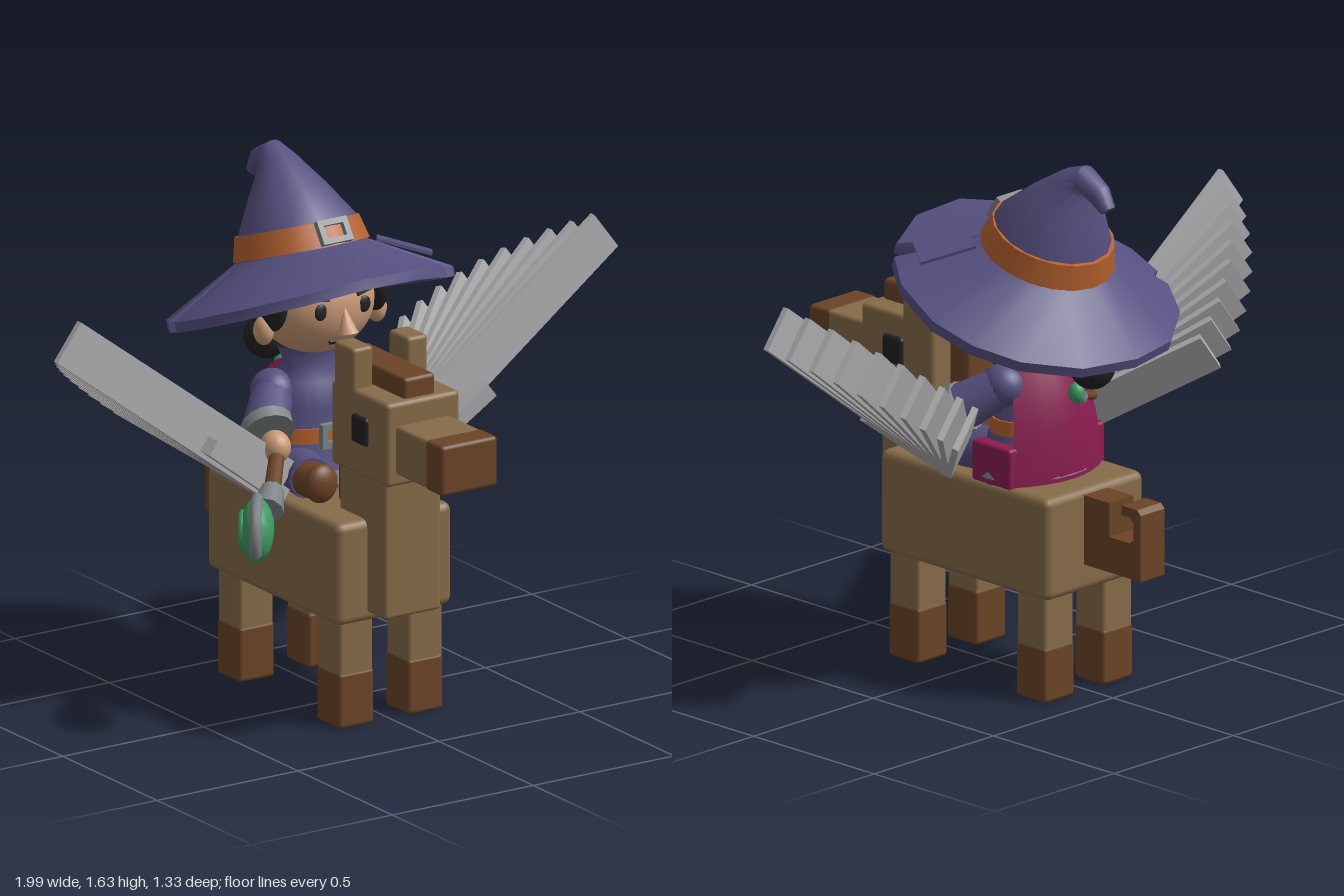
import * as THREE from 'three';
import { toCreasedNormals } from 'three/addons/utils/BufferGeometryUtils.js';
import { RoundedBoxGeometry } from 'three/addons/geometries/RoundedBoxGeometry.js';

const RAD = Math.PI / 180;

function makeMaterials() {
  const colors = {
    coat: 0x866b49, brown: 0x6b4426, silver: 0xb0b0b2, steel: 0x7d8486, purple: 0x565080,
    orange: 0xb4602e, skin: 0xc99a78, black: 0x222222, green: 0x3f9a63, magenta: 0x8a1c50,
  };
  const mats = {};
  for (const name in colors) {
    mats[name] = new THREE.MeshStandardMaterial({ color: colors[name] });
    mats[name].name = name;
  }
  mats.magenta.side = THREE.DoubleSide;
  return mats;
}

// Skin over a list of equal-length rings; the last ring is closed to its centre
function loft(rings) {
  const n = rings[0].length, pos = [], idx = [];
  rings.forEach((ring) => ring.forEach((p) => pos.push(...p)));
  for (let i = 0; i < rings.length - 1; i++) {
    for (let j = 0; j < n; j++) {
      const a = i * n + j, b = i * n + ((j + 1) % n);
      idx.push(a, a + n, b, b, a + n, b + n);
    }
  }
  const last = (rings.length - 1) * n;
  for (let j = 1; j < n - 1; j++) idx.push(last, last + j + 1, last + j);
  const g = new THREE.BufferGeometry();
  g.setAttribute('position', new THREE.Float32BufferAttribute(pos, 3));
  g.setIndex(idx);
  return toCreasedNormals(g, 0.6);
}

// Rectangular ring with an open middle
function frameGeometry(w, h, t, d) {
  const rect = (S, x, y) => new S().moveTo(-x, -y).lineTo(x, -y).lineTo(x, y).lineTo(-x, y).closePath();
  const shape = rect(THREE.Shape, w / 2, h / 2);
  shape.holes.push(rect(THREE.Path, w / 2 - t, h / 2 - t));
  return new THREE.ExtrudeGeometry(shape, { depth: d, bevelEnabled: false });
}

export function createModel() {
  const M = makeMaterials();
  const model = new THREE.Group();
  model.name = 'witchOnWingedHorse';

  const group = (name, parent = model) => {
    const g = new THREE.Group();
    g.name = name;
    parent.add(g);
    return g;
  };
  const add = (parent, name, geo, mat, x = 0, y = 0, z = 0) => {
    const m = new THREE.Mesh(geo, mat);
    m.name = name;
    m.position.set(x, y, z);
    parent.add(m);
    return m;
  };
  // Rounded box from its limits on each axis
  const block = (parent, name, mat, [x0, x1], [y0, y1], [z0, z1], r = 0.012) =>
    add(parent, name, new RoundedBoxGeometry(x1 - x0, y1 - y0, z1 - z0, 2, r), mat,
      (x0 + x1) / 2, (y0 + y1) / 2, (z0 + z1) / 2);
  const ball = (parent, name, mat, c, s, seg = 20) => {
    const m = add(parent, name, new THREE.SphereGeometry(1, seg, Math.ceil(seg * 0.7)), mat, ...c);
    m.scale.set(...s);
    return m;
  };
  // Tapered rod from a to b
  const rod = (parent, name, mat, a, b, ra, rb = ra, sides = 14) => {
    const A = new THREE.Vector3(...a), B = new THREE.Vector3(...b), D = B.clone().sub(A);
    const m = add(parent, name, new THREE.CylinderGeometry(rb, ra, D.length(), sides), mat);
    m.position.copy(A).lerp(B, 0.5);
    m.quaternion.setFromUnitVectors(new THREE.Vector3(0, 1, 0), D.normalize());
    return m;
  };

  // ---- Horse ----
  const horse = group('horse');
  block(horse, 'body', M.coat, [-0.205, 0.205], [0.325, 0.642], [-0.43, 0.27], 0.025);
  block(horse, 'neck', M.coat, [-0.1, 0.1], [0.355, 0.79], [0.12, 0.365]);
  block(horse, 'head', M.coat, [-0.13, 0.13], [0.785, 1.045], [0.12, 0.42], 0.015);
  block(horse, 'snout', M.coat, [-0.098, 0.098], [0.822, 0.973], [0.4, 0.64]);
  block(horse, 'muzzle', M.brown, [-0.1, 0.1], [0.82, 0.975], [0.575, 0.665]);
  block(horse, 'maneTop', M.brown, [-0.055, 0.055], [1.03, 1.107], [0.05, 0.4]);
  block(horse, 'maneBack', M.brown, [-0.055, 0.055], [0.63, 1.107], [0.045, 0.13]);
  for (const s of [-1, 1]) {
    const span = (a, b) => (s > 0 ? [a, b] : [-b, -a]);
    block(horse, 'ear', M.coat, span(0.06, 0.133), [1.02, 1.17], [0.14, 0.245]);
    block(horse, 'horseEye', M.black, span(0.11, 0.142), [0.887, 0.975], [0.24, 0.322]);
    for (const [z0, z1] of [[0.125, 0.25], [-0.402, -0.278]]) {
      block(horse, 'leg', M.coat, span(0.062, 0.183), [0.01, 0.335], [z0 + 0.002, z1 - 0.002]);
      block(horse, 'hoof', M.brown, span(0.06, 0.185), [0, 0.172], [z0, z1]);
    }
  }

  // Hooked tail cut from one outline in the side plane
  const tailShape = new THREE.Shape([
    [0.42, 0.41], [0.665, 0.41], [0.665, 0.615], [0.65, 0.63], [0.585, 0.63], [0.585, 0.6],
    [0.62, 0.6], [0.635, 0.585], [0.635, 0.535], [0.62, 0.52], [0.535, 0.52], [0.535, 0.625], [0.42, 0.625],
  ].map(([x, y]) => new THREE.Vector2(x, y)));
  const tail = add(horse, 'tail', new THREE.ExtrudeGeometry(tailShape, { depth: 0.1, bevelEnabled: false }), M.brown, -0.05);
  tail.rotation.y = Math.PI / 2;

  // ---- Wings: fans of thin feathers around one pivot ----
  for (const s of [-1, 1]) {
    const wing = group(s > 0 ? 'leftWing' : 'rightWing');
    wing.position.set(0.19 * s, 0.69, -0.045);
    wing.rotation.z = s > 0 ? 37 * RAD : Math.PI - 37 * RAD;
    for (let i = 0; i < 10; i++) {
      const t = i / 9, len = 0.955 - 0.42 * t;
      const geo = new THREE.BoxGeometry(len, 0.14, 0.02);
      geo.translate(len / 2, 0, 0);
      add(wing, 'feather', geo, M.silver).rotation.y = 41 * RAD * t ** 1.15;
    }
    const arm = new THREE.BoxGeometry(0.36, 0.05, 0.045);
    arm.translate(0.18, -0.035 * s, 0);
    add(wing, 'wingArm', arm, M.silver, 0, 0, 0.025).rotation.y = -7 * RAD;
  }

  // ---- Rider ----
  const rider = group('rider');
  const robe = new THREE.LatheGeometry([
    [0.2, 0.62], [0.19, 0.7], [0.145, 0.8], [0.15, 0.88], [0.13, 0.96], [0.085, 1.0], [0.11, 1.06],
  ].map(([r, y]) => new THREE.Vector2(r, y)), 24);
  robe.scale(1, 1, 0.75);
  add(rider, 'robe', robe, M.purple, 0, 0, -0.18);
  const hem = add(rider, 'robeHem', new THREE.CylinderGeometry(0.195, 0.205, 0.04, 24), M.steel, 0, 0.675, -0.18);
  hem.scale.z = 0.76;
  const belt = add(rider, 'belt', new THREE.CylinderGeometry(0.153, 0.157, 0.045, 24), M.orange, 0, 0.8, -0.18);
  belt.scale.z = 0.76;
  add(rider, 'beltBuckle', frameGeometry(0.09, 0.075, 0.02, 0.02), M.steel, 0, 0.8, -0.068);
  for (const s of [-1, 1]) {
    const hand = [0.215 * s, 0.805, -0.045];
    ball(rider, 'shoulder', M.purple, [0.135 * s, 0.93, -0.18], [0.065, 0.065, 0.07]);
    rod(rider, 'sleeve', M.purple, [0.135 * s, 0.93, -0.18], [0.215 * s, 0.86, -0.09], 0.06, 0.072);
    rod(rider, 'cuff', M.steel, [0.212 * s, 0.865, -0.098], [0.222 * s, 0.845, -0.068], 0.078, 0.078);
    ball(rider, 'hand', M.skin, hand, [0.045, 0.05, 0.05]);
    rod(rider, 'thigh', M.purple, [0.08 * s, 0.7, -0.16], [0.12 * s, 0.7, 0], 0.075, 0.065);
    rod(rider, 'bootShaft', M.brown, [0.12 * s, 0.7, -0.03], [0.125 * s, 0.7, 0.06], 0.058, 0.052);
    ball(rider, 'bootToe', M.brown, [0.127 * s, 0.705, 0.065], [0.055, 0.06, 0.035]);
  }

  // Cape flares downward and wraps forward at its edges
  const capeGeo = new THREE.PlaneGeometry(2, 1, 8, 6);
  const cp = capeGeo.attributes.position;
  for (let i = 0; i < cp.count; i++) {
    const u = cp.getX(i), t = cp.getY(i) + 0.5;
    cp.setXYZ(i, u * (0.2 - 0.06 * t), 0.63 + 0.36 * t,
      -0.335 + 0.07 * u * u + 0.06 * t * t * t);
  }
  capeGeo.computeVertexNormals();
  add(rider, 'cape', capeGeo, M.magenta);
  for (const s of [-1, 1]) {
    block(rider, 'capeEdge', M.magenta, s > 0 ? [0.15, 0.2] : [-0.2, -0.15], [0.635, 0.76], [-0.27, -0.11], 0.01);
  }

  // Small wand behind the shoulders
  rod(rider, 'wandStick', M.brown, [-0.07, 0.89, -0.35], [0.02, 0.915, -0.375], 0.014);
  rod(rider, 'wandRing', M.steel, [0.01, 0.905, -0.375], [0.025, 0.92, -0.38], 0.024);
  ball(rider, 'wandTip', M.green, [0.035, 0.93, -0.383], [0.025, 0.032, 0.025], 10);

  // Head, hair and face
  ball(rider, 'face', M.skin, [0, 1.2, -0.16], [0.185, 0.165, 0.165], 28);
  ball(rider, 'hair', M.black, [0, 1.225, -0.205], [0.205, 0.17, 0.17], 28);
  ball(rider, 'hairTie', M.black, [0, 1.08, -0.35], [0.05, 0.06, 0.06]);
  ball(rider, 'hairBun', M.black, [0, 1.01, -0.415], [0.068, 0.068, 0.068]);
  const nose = add(rider, 'nose', new THREE.ConeGeometry(0.032, 0.085, 10), M.skin, 0, 1.175, 0.01);
  nose.rotation.x = -0.25;
  const mouth = add(rider, 'mouth', new THREE.BoxGeometry(0.07, 0.01, 0.009), M.black, 0, 1.1, -0.027);
  mouth.rotation.x = 0.6;
  for (const s of [-1, 1]) {
    ball(rider, 'fringe', M.black, [0.1 * s, 1.305, -0.07], [0.11, 0.06, 0.075]).rotation.z = -0.35 * s;
    ball(rider, 'sideHair', M.black, [0.18 * s, 1.23, -0.11], [0.035, 0.09, 0.06]);
    ball(rider, 'riderEar', M.skin, [0.2 * s, 1.14, -0.13], [0.03, 0.045, 0.035], 12);
    ball(rider, 'riderEye', M.black, [0.077 * s, 1.205, -0.01], [0.022, 0.026, 0.008], 12);
    const brow = add(rider, 'eyebrow', new THREE.BoxGeometry(0.065, 0.016, 0.009), M.black, 0.08 * s, 1.247, -0.014);
    brow.rotation.set(-0.3, 0.2 * s, 0.2 * s);
  }

  // ---- Hat: polygonal notched brim, crown and curled tip ----
  const hat = group('hat', rider);
  hat.position.set(0, 1.215, -0.19);
  hat.rotation.x = -20 * RAD;
  const corners = [0, 25, 43, 48, 52, 75, 100, 125, 150, 175, 191, 196, 200, 220, 245, 270, 295, 320, 340];
  const notch = { 48: 0.37, 196: 0.385 };
  const rim = (u) => corners.map((deg) => {
    const r = notch[deg] ?? 0.435, c = Math.cos(deg * RAD);
    return [r * c, u - 0.03 * Math.abs(c), r * Math.sin(deg * RAD)];
  });
  const ring = (r, u, v = 0, tilt = 0) => corners.map((deg) => {
    const q = r * Math.sin(deg * RAD), t = tilt * RAD;
    return [r * Math.cos(deg * RAD), u + q * Math.sin(t), v + q * Math.cos(t)];
  });
  add(hat, 'brimAndCrown', loft([
    ring(0.05, 0.085), ring(0.18, 0.08), rim(-0.02), rim(0.012), ring(0.2, 0.115), ring(0.178, 0.195, 0.005),
    ring(0.115, 0.305, -0.011), ring(0.062, 0.385, -0.035, 15), ring(0.045, 0.415, -0.065, 55),
    ring(0.036, 0.402, -0.127, 100), ring(0.024, 0.375, -0.172, 125),
  ]), M.purple);
  add(hat, 'hatBand', new THREE.CylinderGeometry(0.187, 0.206, 0.075, 18), M.orange, 0, 0.155, 0.002);
  add(hat, 'hatBuckle', frameGeometry(0.105, 0.075, 0.018, 0.02), M.steel, 0, 0.155, 0.19).rotation.x = -0.25;
  const patchArm = group('patchMount', hat);
  patchArm.rotation.y = 50 * RAD;
  const patch = add(patchArm, 'brimPatch', new THREE.BoxGeometry(0.12, 0.009, 0.17), M.purple, 0, 0.075, 0.305);
  patch.rotation.set(0.46, 0.15, 0);

  // ---- Staff with a disc-shaped gem ----
  const staff = group('staff');
  rod(staff, 'staffShaft', M.brown, [-0.17, 0.82, -0.09], [-0.34, 0.715, 0.12], 0.022, 0.026, 10);
  rod(staff, 'staffCollar', M.steel, [-0.32, 0.73, 0.095], [-0.375, 0.69, 0.15], 0.035, 0.05, 10);
  const gem = group('gemHead', staff);
  gem.position.set(-0.435, 0.65, 0.185);
  gem.rotation.y = Math.atan2(-0.8, -0.6);
  ball(gem, 'gem', M.green, [0, 0, 0], [0.096, 0.096, 0.052], 14);
  add(gem, 'gemRing', new THREE.TorusGeometry(0.05, 0.012, 8, 18), M.green, 0, 0, 0.042);
  const claw = add(gem, 'gemClaw', new THREE.TorusGeometry(0.092, 0.018, 8, 16, Math.PI * 0.9), M.steel);
  claw.rotation.z = Math.PI * 1.8;
  return model;
}
